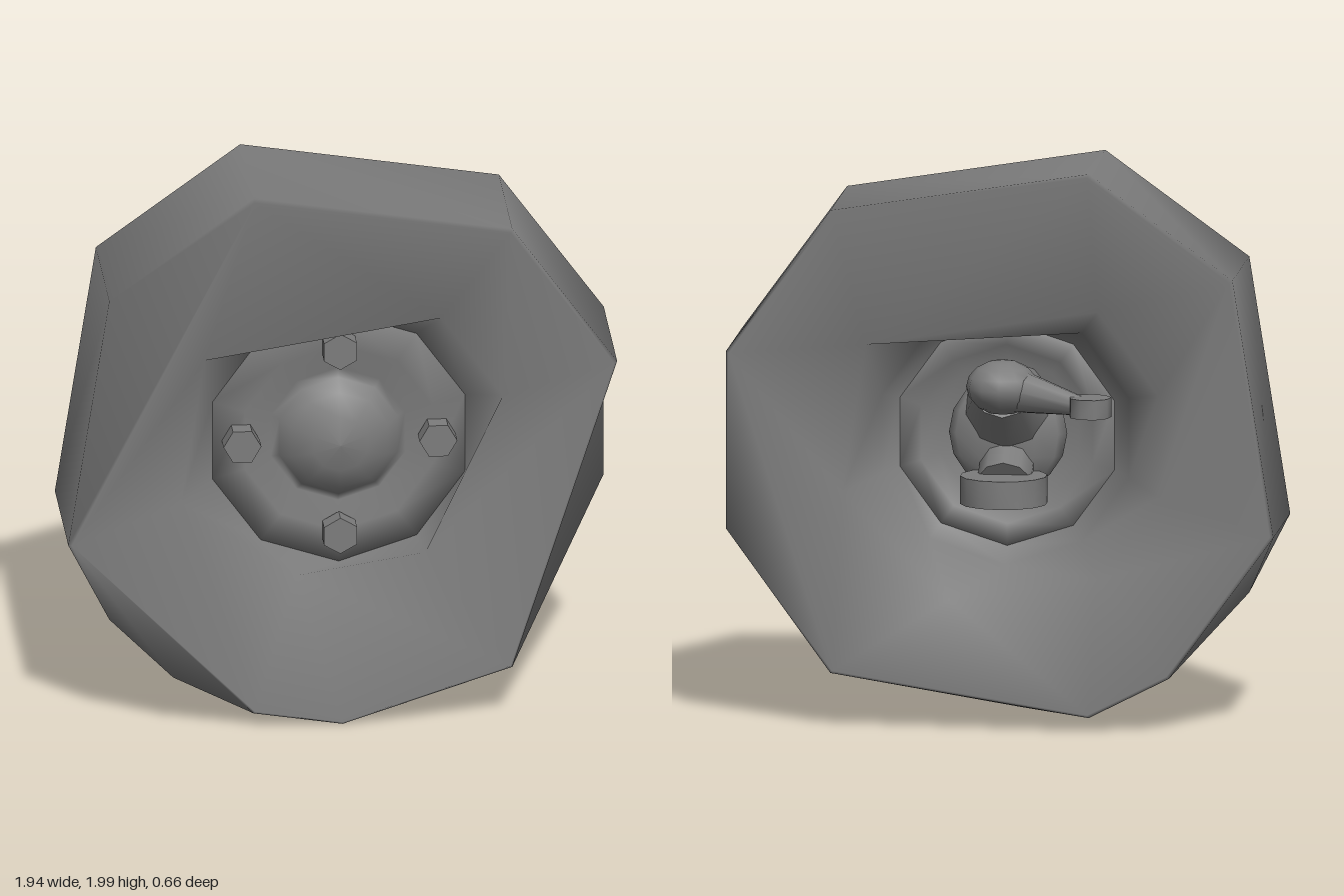
import * as THREE from 'three';
import { mergeVertices, toCreasedNormals } from 'three/addons/utils/BufferGeometryUtils.js';

const CY = 1.03; // axle height
const mat = new THREE.MeshStandardMaterial({ color: 0x7c7c7c, side: THREE.DoubleSide });

function add(parent, name, geometry, x = 0, y = 0, z = 0) {
  const mesh = new THREE.Mesh(geometry, mat);
  mesh.name = name;
  mesh.position.set(x, y, z);
  parent.add(mesh);
  return mesh;
}

// Stitch coarse rings with different corner angles into one smooth skin.
// "low" is an optional [radius, z] for the corners of the lower right part of a ring.
function skin(rings) {
  const pos = [];
  const point = ({ angles, r, z, low }, i) => {
    const deg = angles[i % angles.length];
    const [pr, pz] = low && deg > 210 ? low : [r, z];
    const a = THREE.MathUtils.degToRad(deg);
    return [pr * Math.cos(a), pr * Math.sin(a), pz];
  };
  const angle = ({ angles }, i) => angles[i % angles.length] + 360 * Math.floor(i / angles.length);
  for (let k = 0; k < rings.length - 1; k++) {
    const A = rings[k], B = rings[k + 1];
    const na = A.angles.length, nb = B.angles.length;
    let i = 0, j = 0;
    while (i < na || j < nb) {
      if (j >= nb || (i < na && angle(A, i + 1) <= angle(B, j + 1))) {
        pos.push(...point(A, i), ...point(A, i + 1), ...point(B, j));
        i++;
      } else {
        pos.push(...point(A, i), ...point(B, j + 1), ...point(B, j));
        j++;
      }
    }
  }
  const g = new THREE.BufferGeometry();
  g.setAttribute('position', new THREE.Float32BufferAttribute(pos, 3));
  const merged = mergeVertices(g);
  merged.computeVertexNormals();
  return merged;
}

// Lathe around the z axis; profile points are [radius, z] from back to front
function latheZ(profile, sides) {
  const g = new THREE.LatheGeometry(profile.map(([r, z]) => new THREE.Vector2(r, z)), sides);
  return g.rotateX(Math.PI / 2);
}

// Round bar between two points with its own radius at each end
function bar(a, b, ra, rb) {
  const dir = b.clone().sub(a);
  const g = new THREE.CylinderGeometry(rb, ra, dir.length(), 10);
  g.applyQuaternion(new THREE.Quaternion().setFromUnitVectors(new THREE.Vector3(0, 1, 0), dir.clone().normalize()));
  const mid = a.clone().add(b).multiplyScalar(0.5);
  return g.translate(mid.x, mid.y, mid.z);
}

export function createModel() {
  const model = new THREE.Group();
  model.name = 'wheel';

  // Tyre: rear well, rear sidewall, tread, front sidewall, front well
  const backRim = [18, 54, 108, 144, 198, 234, 252, 306, 342];
  const backCap = [18, 54, 108, 144, 198, 234, 252, 306];
  const frontRim = [18, 54, 108, 144, 198, 216, 234, 252, 270, 306];
  const frontCap = [18, 54, 108, 198, 252, 270, 306];
  const backHole = [36, 126, 162, 198, 234, 288, 342];
  const frontHole = [18, 54, 144, 198, 252, 306];
  const hubAngles = [18, 54, 90, 126, 162, 198, 234, 270, 306, 342];
  add(model, 'tyre', skin([
    { angles: hubAngles, r: 0.4, z: 0.02 },
    { angles: hubAngles, r: 0.46, z: -0.03 },
    { angles: backHole, r: 0.59, z: -0.21 },
    { angles: backCap, r: 1.01, z: -0.24 },
    { angles: backRim, r: 1.022, z: -0.225 },
    { angles: frontRim, r: 1.022, z: 0.315 },
    { angles: frontCap, r: 1.01, z: 0.33 },
    { angles: frontHole, r: 0.6, z: 0.28, low: [0.51, 0.24] },
    { angles: hubAngles, r: 0.47, z: 0.15 },
  ]), 0, CY, 0);

  // Hub disc: hollow behind, its front face dips and swells into a domed cap
  add(model, 'hubDisc', latheZ([
    [0, 0.09], [0.26, 0.08], [0.32, 0.01], [0.4, 0.02], [0.47, 0.15], [0.35, 0.16],
    [0.25, 0.12], [0.22, 0.14], [0.18, 0.19], [0.1, 0.23], [0, 0.245],
  ], 10), 0, CY, 0);

  // Four hexagonal bolts
  for (let i = 0; i < 4; i++) {
    const a = (i * Math.PI) / 2;
    const bolt = toCreasedNormals(new THREE.CylinderGeometry(0.067, 0.067, 0.07, 6), 0.5);
    bolt.rotateX(Math.PI / 2);
    // Corners point up on the vertical pair, sideways on the horizontal pair
    if (i % 2 === 0) bolt.rotateZ(Math.PI / 2);
    add(model, 'bolt', bolt, 0.347 * Math.cos(a), CY + 0.347 * Math.sin(a), 0.19);
  }

  // Steering knuckle behind the hub
  const knuckle = new THREE.Group();
  knuckle.name = 'steeringKnuckle';
  model.add(knuckle);
  const v = (x, y, z) => new THREE.Vector3(x, y, z);
  const body = add(knuckle, 'body', new THREE.SphereGeometry(0.21, 12, 8), 0, CY, 0.05);
  body.scale.z = 0.35;
  const knob = add(knuckle, 'upperKnob', new THREE.SphereGeometry(0.13, 12, 8), 0, 1.22, -0.125);
  knob.scale.y = 0.75;
  add(knuckle, 'upperNeck', bar(v(0, 1.13, 0.05), v(0, 1.21, -0.1), 0.16, 0.11));
  add(knuckle, 'lowerNeck', bar(v(0, 0.92, 0.04), v(0, 0.86, -0.06), 0.1, 0.1));
  add(knuckle, 'arm', bar(v(-0.05, 1.21, -0.14), v(-0.3, 1.175, -0.25), 0.08, 0.033));
  add(knuckle, 'armEye', toCreasedNormals(new THREE.CylinderGeometry(0.075, 0.075, 0.07, 9), 0.8), -0.325, 1.175, -0.26);

  // Lower ring, open at the bottom
  const ring = [[0, 0.02], [0.115, 0.02], [0.115, -0.05], [0.155, -0.05], [0.155, 0.05], [0, 0.05]]
    .map(([r, y]) => new THREE.Vector2(r, y));
  add(knuckle, 'lowerRing', toCreasedNormals(new THREE.LatheGeometry(ring, 14), 0.8), 0, 0.85, -0.095);
  return model;
}
